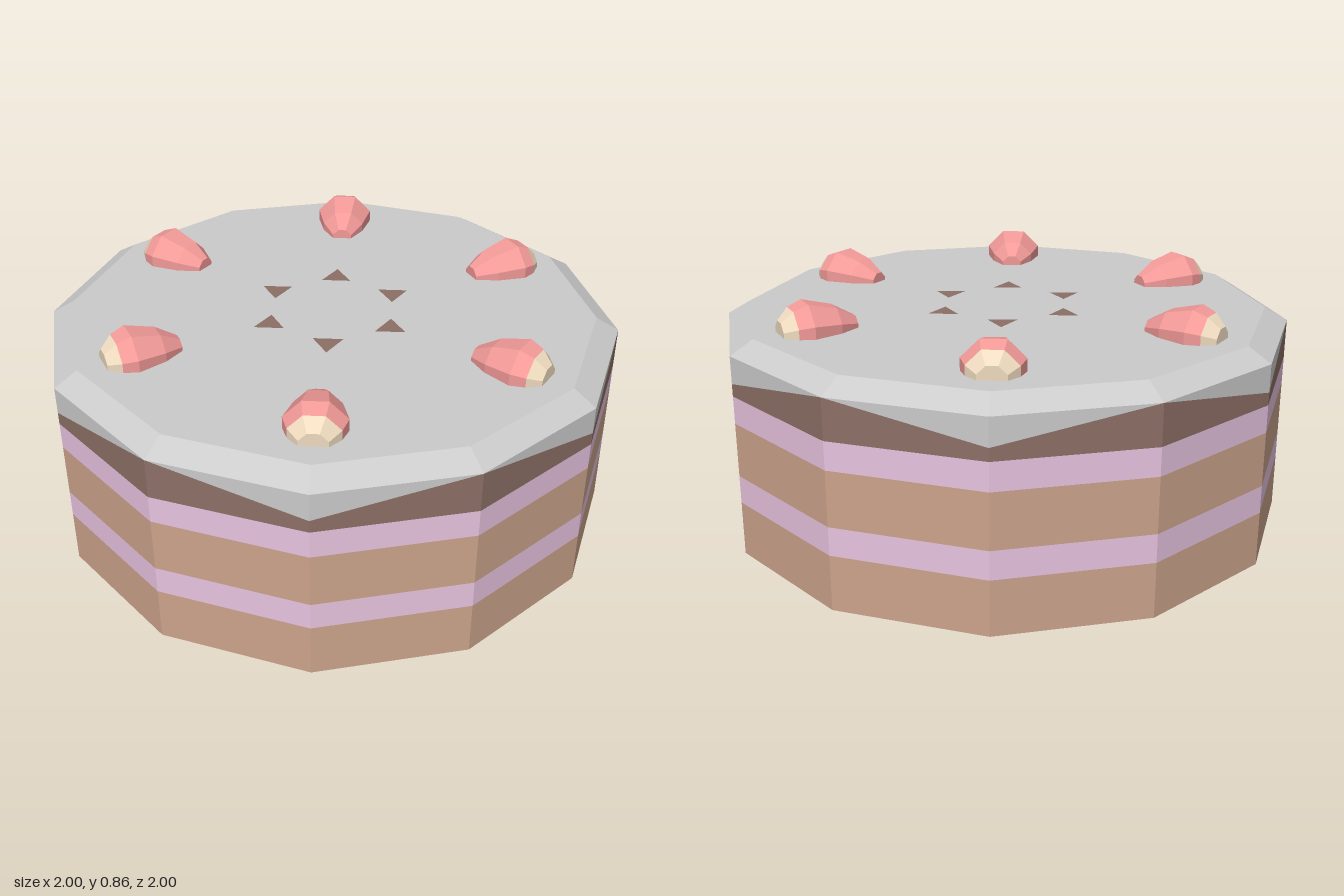
import * as THREE from 'three';

const SIDES = 12;
const mat = (color) => new THREE.MeshStandardMaterial({ color, flatShading: true });

function part(name, geometry, material, parent) {
  const mesh = new THREE.Mesh(geometry, material);
  mesh.name = name;
  parent.add(mesh);
  return mesh;
}

// Open twelve-sided ring between two heights
function ring(y0, y1, rTop = 1) {
  const g = new THREE.CylinderGeometry(rTop, 1, y1 - y0, SIDES, 1, true);
  return g.translate(0, (y0 + y1) / 2, 0);
}

// Pull every second corner of one rim down to make the icing's zigzag edge
function zigzag(g, rimY, tipY) {
  const p = g.attributes.position;
  for (let i = 0; i < p.count; i++) {
    const corner = Math.round(Math.atan2(p.getX(i), p.getZ(i)) / (Math.PI / 6));
    if ((corner & 1) && Math.abs(p.getY(i) - rimY) < 1e-4) p.setY(i, tipY);
  }
  return g;
}

// Flat polygon facing up or down
function disc(r, n, y, up = true) {
  const g = new THREE.CircleGeometry(r, n, Math.PI / 2);
  return g.rotateX(up ? -Math.PI / 2 : Math.PI / 2).translate(0, y, 0);
}

// Faceted piece of a berry, turned on its axis, which points along +x
function berryPiece(profile) {
  const points = profile.map(([s, r]) => new THREE.Vector2(r, s));
  return new THREE.LatheGeometry(points, 8).rotateY(Math.PI / 8).rotateZ(-Math.PI / 2);
}

export function createModel() {
  const cake = new THREE.Group();
  cake.name = 'cake';
  const sponge = mat(0xcca48c), cream = mat(0xe8c4e0), chocolate = mat(0x8d7066);
  const icing = mat(0xcccccc), red = mat(0xf29a98), pale = mat(0xf0dcc0);

  // Sponge and cream layers
  part('lowerSponge', ring(0, 0.19), sponge, cake);
  part('lowerCream', ring(0.19, 0.287), cream, cake);
  part('upperSponge', ring(0.287, 0.475), sponge, cake);
  part('upperCream', ring(0.475, 0.57), cream, cake);
  part('chocolateLayer', zigzag(ring(0.57, 0.708), 0.708, 0.613), chocolate, cake);
  part('bottom', disc(1, SIDES, 0, false), chocolate, cake);

  // Icing: dripping skirt, bevel and top
  part('icingDrip', zigzag(ring(0.7079, 0.7081), 0.7079, 0.613), icing, cake);
  part('icingBevel', ring(0.708, 0.755, 0.92), icing, cake);
  part('icingTop', disc(0.92, SIDES, 0.755), icing, cake);

  // Six berries around the rim and six chocolate chips in the middle
  const body = berryPiece([[-0.13, 0], [-0.13, 0.038], [-0.06, 0.082], [0.04, 0.11], [0.09, 0.09]]);
  const cap = berryPiece([[0.09, 0.09], [0.13, 0.05], [0.13, 0]]);
  const chip = disc(0.06, 3, 0).rotateY(-Math.PI / 2);
  for (let i = 0; i < 6; i++) {
    const a = i * Math.PI / 3;
    const berry = new THREE.Group();
    berry.name = 'berry';
    part('berryBody', body, red, berry);
    part('berryEnd', cap, pale, berry);
    berry.position.set(0.7 * Math.cos(a), 0.754, -0.7 * Math.sin(a));
    berry.rotation.y = a;
    cake.add(berry);

    const c = part('chocolateChip', chip, chocolate, cake);
    c.position.set(0.24 * Math.cos(a), 0.758, -0.24 * Math.sin(a));
    c.rotation.y = a;
  }
  return cake;
}
